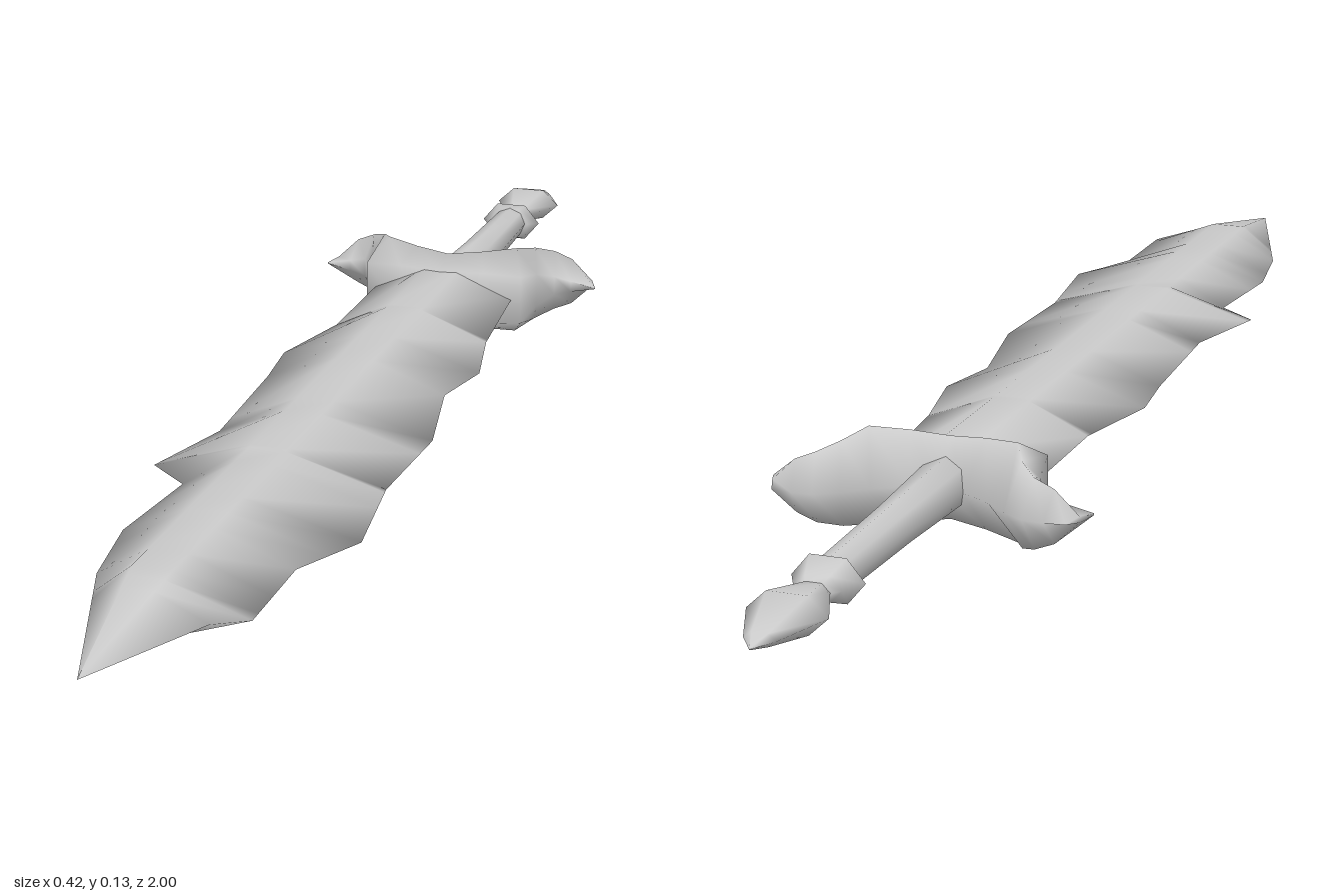
import * as THREE from 'three';

const MID = 0.068; // height of the sword's middle plane

// Skin a closed surface over rings of [x, y, z] points, wound outward along the path.
function loft(name, rings) {
  const n = rings[0].length;
  const pos = rings.flat(2);
  const index = [];
  for (let i = 0; i < rings.length - 1; i++) {
    for (let j = 0; j < n; j++) {
      const k = (j + 1) % n;
      const a = i * n + j, b = i * n + k, c = b + n, d = a + n;
      index.push(a, b, c, a, c, d);
    }
  }
  const last = (rings.length - 1) * n;
  for (let j = 1; j < n - 1; j++) {
    index.push(0, j + 1, j, last, last + j, last + j + 1);
  }
  const geo = new THREE.BufferGeometry();
  geo.setAttribute('position', new THREE.Float32BufferAttribute(pos, 3));
  geo.setIndex(index);
  geo.computeVertexNormals();
  const mesh = new THREE.Mesh(geo, new THREE.MeshStandardMaterial({ color: 0xcccccc }));
  mesh.name = name;
  return mesh;
}

// Round part along z from [z, half width, half height, optional centre height].
function turned(name, profile, sides) {
  return loft(name, profile.map(([z, rx, ry, y = MID]) =>
    Array.from({ length: sides }, (_, j) => {
      const t = (j / sides) * Math.PI * 2;
      return [Math.cos(t) * rx, y + Math.sin(t) * ry, z];
    })));
}

// Linear reading of a [z, value] outline.
function sample(line, z) {
  for (let i = 1; i < line.length; i++) {
    const [z0, v0] = line[i - 1], [z1, v1] = line[i];
    if (z <= z1) return v0 + (v1 - v0) * (z - z0) / (z1 - z0);
  }
  return line[line.length - 1][1];
}

// Ragged blade: two chipped edges around a flat-topped core.
function makeBlade() {
  const right = [[-0.42, -0.106], [-0.21, -0.106], [-0.07, -0.138], [0.03, -0.127], [0.25, -0.116],
    [0.39, -0.153], [0.44, -0.095], [0.6, -0.11], [0.73, -0.09], [1, 0]];
  const left = [[-0.42, 0.104], [-0.2, 0.122], [-0.07, 0.148], [0.03, 0.127], [0.2, 0.16],
    [0.38, 0.153], [0.55, 0.175], [0.65, 0.127], [0.8, 0.127], [0.825, 0.085], [1, 0]];
  const height = [[-0.42, 0.039], [0.78, 0.039], [1, 0]];
  const zs = [...new Set([...right, ...left, ...height].map(p => p[0]))].sort((a, b) => a - b);
  return loft('blade', zs.map(z => {
    const l = sample(left, z), r = sample(right, z), h = sample(height, z);
    const core = 0.025 * h / 0.039;
    return [[l, MID, z], [core, MID + h, z], [-core, MID + h, z],
      [r, MID, z], [-core, MID - h, z], [core, MID - h, z]];
  }));
}

// Crossguard: swept-back arms, half described and mirrored.
function makeGuard() {
  // front x, front z, back x, back z, ridge half height, front half height
  const half = [
    [0, -0.38, 0, -0.465, 0.055, 0.04],
    [0.065, -0.39, 0.035, -0.472, 0.06, 0.04],
    [0.12, -0.4, 0.078, -0.497, 0.065, 0.036],
    [0.13, -0.455, 0.108, -0.522, 0.056, 0.025],
    [0.15, -0.485, 0.137, -0.54, 0.046, 0.014],
    [0.175, -0.488, 0.165, -0.541, 0.035, 0.008],
    [0.212, -0.49, 0.192, -0.538, 0.004, 0.001],
  ];
  const mirrored = half.slice(1).reverse().map(([fx, fz, bx, ...rest]) => [-fx, fz, -bx, ...rest]);
  return loft('crossguard', [...mirrored, ...half].map(([fx, fz, bx, bz, h, hf]) => {
    const mx = (fx + bx) / 2, mz = (fz + bz) / 2;
    return [[mx, MID + h, mz], [fx, MID + hf, fz], [fx, MID - hf, fz], [mx, MID - h, mz], [bx, MID, bz]];
  }));
}

export function createModel() {
  const sword = new THREE.Group();
  sword.name = 'sword';
  sword.add(
    makeBlade(),
    makeGuard(),
    turned('grip', [[-0.8, 0.025, 0.024], [-0.6, 0.029, 0.028], [-0.44, 0.037, 0.033]], 8),
    turned('collar', [[-0.835, 0.022, 0.012], [-0.825, 0.03, 0.018], [-0.795, 0.046, 0.032], [-0.785, 0.03, 0.027]], 6),
    turned('pommel', [[-1, 0.001, 0.001, 0.062], [-0.975, 0.02, 0.009, 0.064], [-0.905, 0.05, 0.027],
      [-0.83, 0.018, 0.011]], 6),
  );
  return sword;
}
